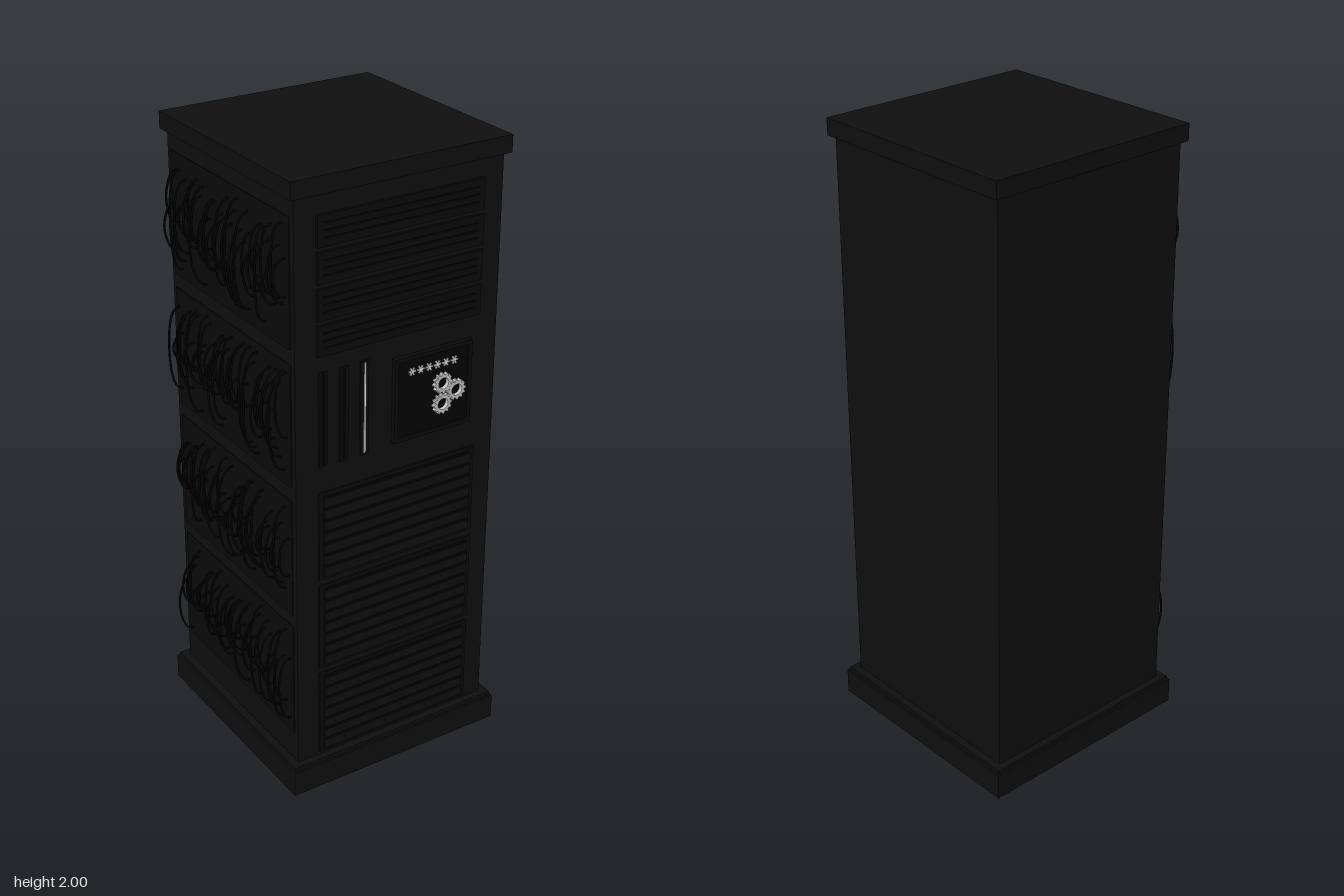
import * as THREE from 'three';

const mat = (name, color) => new THREE.MeshStandardMaterial({ name, color });

export function createModel() {
  const root = new THREE.Group();
  root.name = 'serverCabinet';
  const shell = mat('cabinet black', 0x0e0e0e);
  const trim = mat('panel black', 0x0a0a0a);
  const dark = mat('cable black', 0x030303);
  const white = mat('indicator white', 0xe6e6e6);
  const metal = mat('gear grey', 0xc4c4c4);

  const add = (name, geometry, material, parent = root) => {
    const mesh = new THREE.Mesh(geometry, material);
    mesh.name = name;
    parent.add(mesh);
    return mesh;
  };
  // Box given by its minimum and maximum on each axis
  const box = (name, x0, x1, y0, y1, z0, z1, material, parent) => {
    const mesh = add(name, new THREE.BoxGeometry(x1 - x0, y1 - y0, z1 - z0), material, parent);
    mesh.position.set((x0 + x1) / 2, (y0 + y1) / 2, (z0 + z1) / 2);
    return mesh;
  };
  const group = (name) => {
    const g = new THREE.Group();
    g.name = name;
    root.add(g);
    return g;
  };

  // Cabinet, cap and plinth with a small bevelled upper edge
  box('body', -0.34, 0.357, 0.08, 1.96, -0.35, 0.35, shell);
  box('cap', -0.357, 0.375, 1.947, 2, -0.365, 0.365, shell);
  box('plinth', -0.373, 0.39, 0, 0.085, -0.381, 0.381, shell);
  box('plinthEdge', -0.366, 0.383, 0.085, 0.098, -0.374, 0.374, shell);

  // Four drive units at the top of the front
  const drives = group('driveUnits');
  for (let i = 0; i < 4; i++) {
    const y = 1.47 + i * 0.108;
    box('driveUnit', -0.27, 0.29, y, y + 0.094, 0.345, 0.359, trim, drives);
    for (let j = 0; j < 3; j++) {
      const s = y + 0.022 + j * 0.022;
      box('driveSlot', -0.25, 0.27, s, s + 0.006, 0.358, 0.361, dark, drives);
    }
  }

  // Three louvred panels below
  const vents = group('louvredPanels');
  for (const y of [0.11, 0.425, 0.74]) {
    box('ventFrame', -0.265, 0.29, y, y + 0.295, 0.345, 0.356, trim, vents);
    for (let i = 0; i < 7; i++) {
      const s = y + 0.012 + i * 0.039;
      box('ventSlat', -0.25, 0.275, s, s + 0.03, 0.354, 0.362, shell, vents);
      box('ventGap', -0.25, 0.275, s + 0.03, s + 0.037, 0.355, 0.3575, dark, vents);
    }
  }

  // Vertical slots, the last one lit
  const slots = group('verticalSlots');
  for (const x of [-0.25, -0.18, -0.11]) {
    box('slotPlate', x - 0.014, x + 0.014, 1.12, 1.42, 0.345, 0.356, trim, slots);
    const lit = x === -0.11;
    box(lit ? 'lightStrip' : 'slotLine', x - 0.003, x + 0.003, 1.127, 1.415, 0.355, 0.359, lit ? white : dark, slots);
  }

  // Display with frame
  const display = group('display');
  box('displayScreen', 0, 0.25, 1.14, 1.39, 0.345, 0.36, dark, display);
  box('frameTop', -0.012, 0.262, 1.387, 1.4, 0.345, 0.366, trim, display);
  box('frameBottom', -0.012, 0.262, 1.13, 1.143, 0.345, 0.366, trim, display);
  for (const x of [-0.012, 0.249]) {
    box('frameSide', x, x + 0.013, 1.13, 1.4, 0.345, 0.366, trim, display);
  }
  // Row of small star-shaped indicator lights
  for (let i = 0; i < 6; i++) {
    for (let k = 0; k < 3; k++) {
      const ray = add('indicator', new THREE.BoxGeometry(0.026, 0.005, 0.004), white, display);
      ray.position.set(0.05 + i * 0.03, 1.347, 0.361 + k * 0.0003);
      ray.rotation.z = k * Math.PI / 3;
    }
  }

  // Three meshing toothed rings
  const teeth = 12;
  const gearShape = new THREE.Shape();
  for (let i = 0; i < teeth * 4; i++) {
    const a = (i / (teeth * 4)) * Math.PI * 2;
    const r = i % 4 < 2 ? 0.033 : 0.027;
    gearShape[i ? 'lineTo' : 'moveTo'](r * Math.cos(a), r * Math.sin(a));
  }
  gearShape.closePath();
  gearShape.holes.push(new THREE.Path().absarc(0, 0, 0.018, 0, Math.PI * 2, true));
  const gearGeometry = new THREE.ExtrudeGeometry(gearShape, { depth: 0.013, bevelEnabled: false, curveSegments: 20 });
  for (const [x, y] of [[0.156, 1.286], [0.205, 1.253], [0.156, 1.219]]) {
    add('gear', gearGeometry, metal, display).position.set(x, y, 0.36);
  }

  // Patch panels and looping cables on the side
  let seed = 7;
  const rand = () => (seed = (seed * 16807) % 2147483647) / 2147483647;
  const cables = group('sideCables');
  for (const y0 of [0.22, 0.65, 1.085, 1.52]) {
    box('patchPanel', -0.343, -0.335, y0 - 0.02, y0 + 0.37, -0.33, 0.33, trim, cables);
    for (let i = 0; i < 36; i++) {
      const z = -0.312 + i * 0.0178;
      const low = y0 + 0.006 + rand() * 0.15;
      const high = y0 + 0.35 - rand() * 0.15;
      const out = -0.387 + rand() * 0.012;
      const bend = Math.min(0.06, (high - low) * 0.35);
      const sway = (rand() - 0.5) * 0.012;
      const path = new THREE.CatmullRomCurve3([
        new THREE.Vector3(-0.335, high, z),
        new THREE.Vector3(-0.36, high - bend * 0.1, z),
        new THREE.Vector3(out, high - bend, z + sway),
        new THREE.Vector3(out, low + bend, z + sway),
        new THREE.Vector3(-0.36, low + bend * 0.1, z),
        new THREE.Vector3(-0.335, low, z),
      ]);
      add('cable', new THREE.TubeGeometry(path, 18, 0.0035, 6), dark, cables);
    }
  }
  return root;
}
